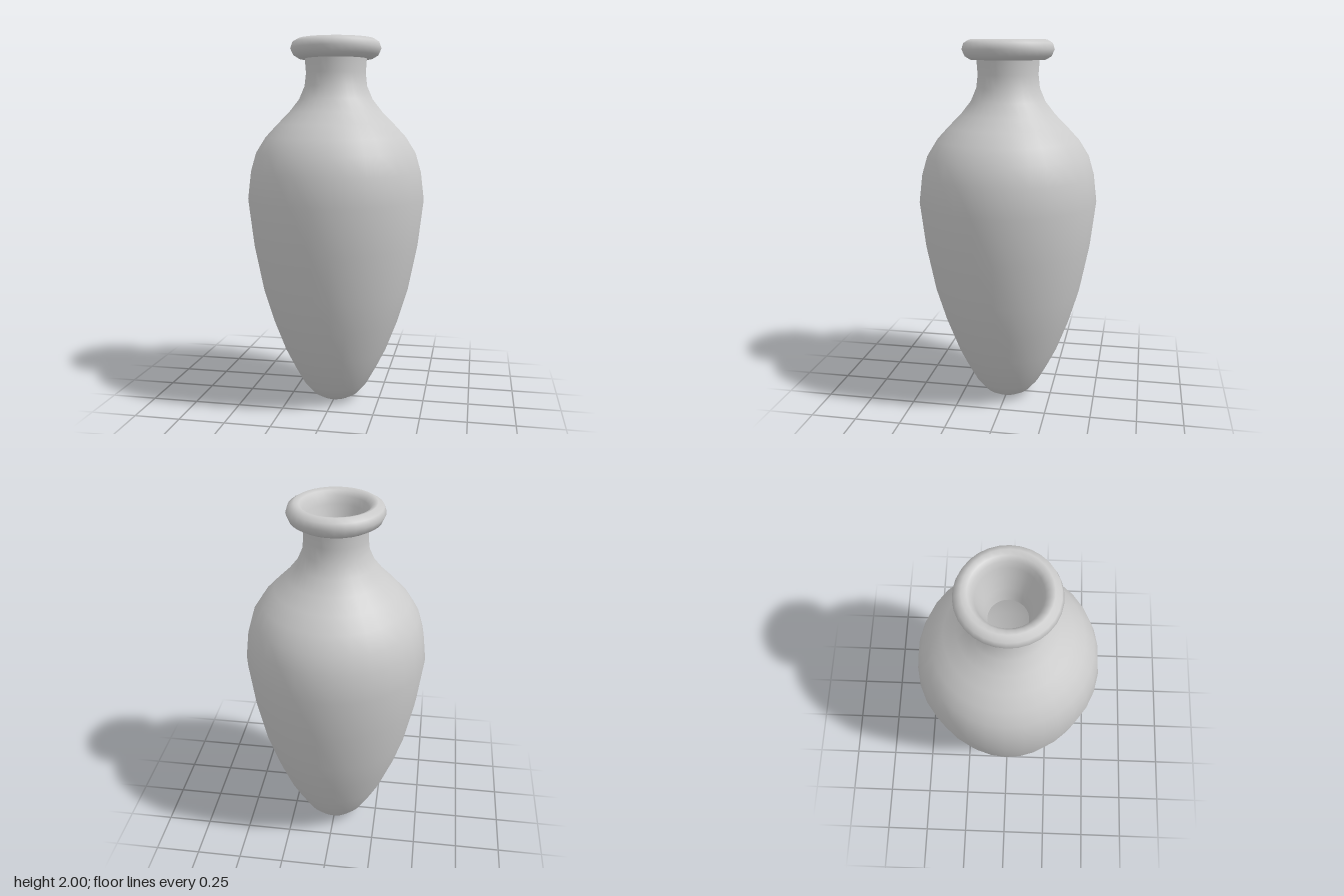
import * as THREE from 'three';

const SIDES = 30;

// Revolve a [radius, height] profile, with a vertex on the x axis
function revolve(name, profile, material) {
  const points = profile.map(([r, y]) => new THREE.Vector2(r, y));
  const mesh = new THREE.Mesh(new THREE.LatheGeometry(points, SIDES, Math.PI / 2), material);
  mesh.name = name;
  return mesh;
}

export function createModel() {
  const group = new THREE.Group();
  group.name = 'vase';
  const material = new THREE.MeshStandardMaterial({ color: 0xcccccc });

  // Outer wall: small foot, swelling belly, shoulder and neck
  group.add(revolve('body', [
    [0, 0], [0.08, 0.003], [0.128, 0.03], [0.18, 0.09], [0.235, 0.19], [0.285, 0.29],
    [0.35, 0.46], [0.405, 0.64], [0.455, 0.89], [0.485, 1.14], [0.467, 1.29],
    [0.438, 1.39], [0.385, 1.475], [0.32, 1.545], [0.255, 1.61], [0.2, 1.68],
    [0.17, 1.75], [0.162, 1.82], [0.168, 1.9],
  ], material));

  // Rolled lip, turning inward and funnelling down the throat
  group.add(revolve('lip', [
    [0.16, 1.895], [0.2, 1.896], [0.23, 1.914], [0.246, 1.95], [0.235, 1.982], [0.205, 2],
    [0.18, 1.992], [0.162, 1.97], [0.15, 1.93], [0.135, 1.87], [0.115, 1.8], [0.105, 1.75],
    [0.098, 1.71],
  ], material));

  // Hollow inside, following the outer wall
  group.add(revolve('cavity', [
    [0.098, 1.71], [0.14, 1.65], [0.2, 1.58], [0.33, 1.45], [0.39, 1.35], [0.43, 1.15],
    [0.4, 0.9], [0.35, 0.65], [0.29, 0.45], [0.22, 0.28], [0.15, 0.16], [0.08, 0.09], [0, 0.07],
  ], material));

  return group;
}
